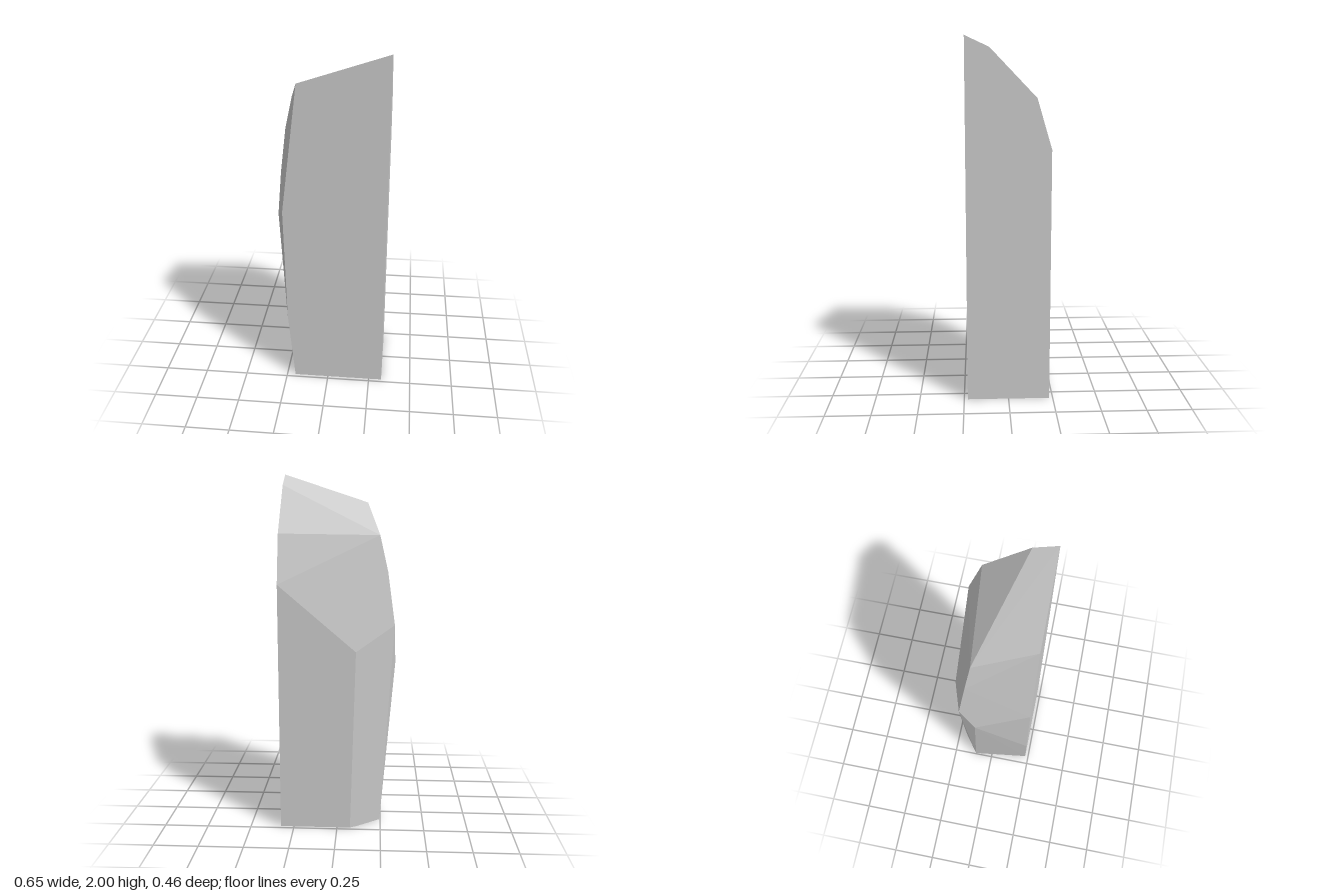
import * as THREE from 'three';
import { ConvexGeometry } from 'three/addons/geometries/ConvexGeometry.js';

export function createModel() {
  const group = new THREE.Group();
  group.name = 'stoneSlab';

  // flat cut side: [z, y] outline at constant x
  const cutSide = [[0.23, 0], [0.23, 2], [0.1, 1.94], [-0.15, 1.68], [-0.23, 1.41], [-0.23, 0]]
    .map(([z, y]) => [0.326, y, z]);

  // flat front: [x, y] of its outer edge
  const frontEdge = [[-0.2, 0], [-0.237, 0.42], [-0.251, 1.11], [-0.16, 1.84]]
    .map(([x, y]) => [x, y, 0.23]);

  // chipped ridge, top to bottom
  const ridge = [
    [-0.232, 1.67, -0.095], [-0.278, 1.47, -0.122], [-0.318, 1.18, -0.157],
    [-0.326, 0.95, -0.073], [-0.245, 0, -0.11],
  ];

  // outer edge of the flat back
  const backEdge = [[-0.105, 1.04, -0.23], [-0.075, 0, -0.23], [-0.12, 0, -0.203]];

  const points = [...cutSide, ...frontEdge, ...ridge, ...backEdge]
    .map((p) => new THREE.Vector3(...p));
  const material = new THREE.MeshStandardMaterial({ color: 0xcccccc, flatShading: true });
  const stone = new THREE.Mesh(new ConvexGeometry(points), material);
  stone.name = 'stone';
  group.add(stone);
  return group;
}
